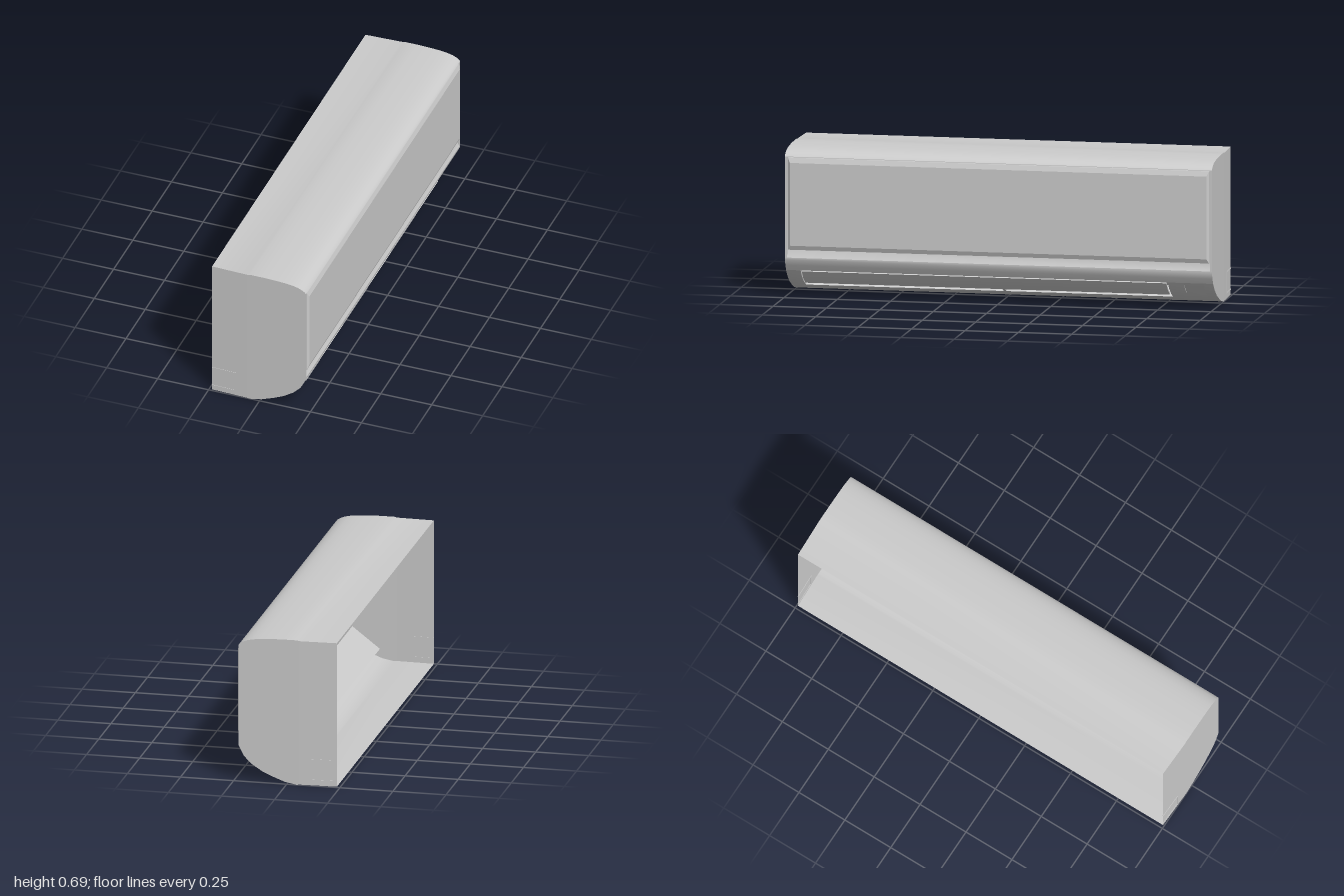
import * as THREE from 'three';
import { toCreasedNormals } from 'three/addons/utils/BufferGeometryUtils.js';

const material = new THREE.MeshStandardMaterial({ color: 0xcccccc, side: THREE.DoubleSide });

// Half the length of the casing: the rear edge draws in slightly
const taper = (x, z) => (x < -0.06 ? z * (1 - 0.006 * (-0.06 - x) / 0.175) : z);

// Sheet swept along z through a list of [x, y] points
function sheet(points, z0, z1) {
  const pos = [];
  for (let i = 0; i < points.length - 1; i++) {
    const [ax, ay] = points[i];
    const [bx, by] = points[i + 1];
    const a0 = [ax, ay, taper(ax, z0)], a1 = [ax, ay, taper(ax, z1)];
    const b0 = [bx, by, taper(bx, z0)], b1 = [bx, by, taper(bx, z1)];
    pos.push(...a0, ...a1, ...b0, ...b0, ...a1, ...b1);
  }
  const g = new THREE.BufferGeometry();
  g.setAttribute('position', new THREE.Float32BufferAttribute(pos, 3));
  g.computeVertexNormals();
  return toCreasedNormals(g, 0.5);
}

const shapeOf = (points) => new THREE.Shape(points.map(([x, y]) => new THREE.Vector2(x, y)));

// Flat wall closing a profile at a given z
function wall(points, z) {
  const g = new THREE.ShapeGeometry(shapeOf(points));
  const p = g.attributes.position;
  for (let i = 0; i < p.count; i++) p.setZ(i, taper(p.getX(i), z));
  g.computeVertexNormals();
  return g;
}

function slab(points, z0, z1) {
  const g = new THREE.ExtrudeGeometry(shapeOf(points), { depth: z1 - z0, bevelEnabled: false });
  return toCreasedNormals(g.translate(0, 0, z0), 0.5);
}

export function createModel() {
  const group = new THREE.Group();
  const add = (name, geometry) => {
    const mesh = new THREE.Mesh(geometry, material);
    mesh.name = name;
    group.add(mesh);
    return mesh;
  };

  // Cross-section of the casing, from the top rear round to the bottom rear
  const topRear = [[-0.235, 0.692], [-0.06, 0.692]];
  const top = [[-0.06, 0.692], [-0.047, 0.695], [0.02, 0.695], [0.08, 0.693], [0.13, 0.69],
    [0.165, 0.685], [0.19, 0.679], [0.21, 0.67], [0.222, 0.662], [0.227, 0.655]];
  const chin = [[0.227, 0.185], [0.227, 0.175], [0.214, 0.148], [0.2, 0.123]];
  const outletCurve = [[0.2, 0.123], [0.165, 0.088], [0.117, 0.057], [0.073, 0.037]];
  const belly = [[0.073, 0.037], [0.06, 0.032], [0.01, 0.013], [-0.047, 0.002], [-0.06, 0.004]];
  const bottomRear = [[-0.06, 0.004], [-0.235, 0.004]];
  const outletMin = -0.787, outletMax = 0.932;
  const windowMin = -0.954, windowMax = -0.862;

  add('topCover', sheet([...topRear, ...top.slice(1)], -1, 1));
  add('chin', sheet(chin, -1, 1));
  add('underside', sheet([...belly, bottomRear[1]], -1, 1));
  for (const [z0, z1] of [[-1, windowMin], [windowMax, outletMin], [outletMax, 1]]) {
    add('outletSurround', sheet(outletCurve, z0, z1));
  }

  // Flat receiver window let into the curve beside the outlet
  add('receiverWindow', sheet([outletCurve[0], ...outletCurve.slice(2)], windowMin, windowMax));
  for (const z of [windowMin, windowMax]) add('windowEnd', wall(outletCurve.slice(0, 3), z));

  // Recess behind the front panel, with a sloped ledge below it
  const recess = [[0.227, 0.655], [0.21, 0.655], [0.21, 0.222], [0.227, 0.185]];
  add('frontRecess', sheet(recess, -0.99, 0.99));

  // Air outlet trough
  const trough = [[0.2, 0.123], [0.135, 0.178], [0.005, 0.078], [0.073, 0.037]];
  add('outletTrough', sheet(trough, outletMin, outletMax));
  const troughEnd = [...trough, [0.117, 0.057], [0.165, 0.088]];
  for (const z of [outletMin, outletMax]) add('outletEnd', wall(troughEnd, z));

  for (const s of [-1, 1]) {
    // End walls, rims beside the panel and the recess ends
    add('endWallFront', wall([...top, ...chin, ...outletCurve.slice(1), ...belly.slice(1)], s));
    add('endWallRear', wall([...topRear, ...bottomRear], s));
    add('frontRim', sheet([[0.227, 0.655], [0.227, 0.185]], s * 0.99, s));
    add('recessEnd', wall(recess, s * 0.99));

    // Pipe hatch outline, open at the rear edge
    const bars = [[-0.1765, 0.127, 0.117, 0.005], [-0.1765, 0.029, 0.117, 0.005],
      [-0.119, 0.078, 0.005, 0.103]];
    for (const [x, y, w, h] of bars) {
      const bar = add('hatchOutline', new THREE.BoxGeometry(w, h, 0.004));
      bar.position.set(x, y, taper(x, s));
      bar.rotation.y = -s * 0.034;
    }
  }

  // Front panel: a box whose outer face is drawn in to give chamfered edges
  const panel = new THREE.BoxGeometry(0.03, 0.43, 1.972, 2, 1, 1);
  const p = panel.attributes.position;
  for (let i = 0; i < p.count; i++) {
    const x = p.getX(i), y = p.getY(i), z = p.getZ(i);
    if (x > 0.01) p.setXYZ(i, 0.235, y > 0 ? 0.627 : 0.242, Math.sign(z) * 0.975);
    else p.setXYZ(i, x < -0.01 ? 0.211 : 0.227, y > 0 ? 0.65 : 0.222, z);
  }
  add('frontPanel', toCreasedNormals(panel, 0.1));

  // Louvre flap, slightly proud of the outlet, and its support
  add('louvreFlap', slab([[0.202, 0.119], [0.167, 0.083], [0.118, 0.053],
    [0.114, 0.06], [0.162, 0.09], [0.194, 0.122]], -0.781, 0.926));
  const support = [[0.125, 0.062], [0.073, 0.037], [0.045, 0.06], [0.08, 0.09]];
  add('centreSupport', slab(support, -0.006, 0.006));

  return group;
}
